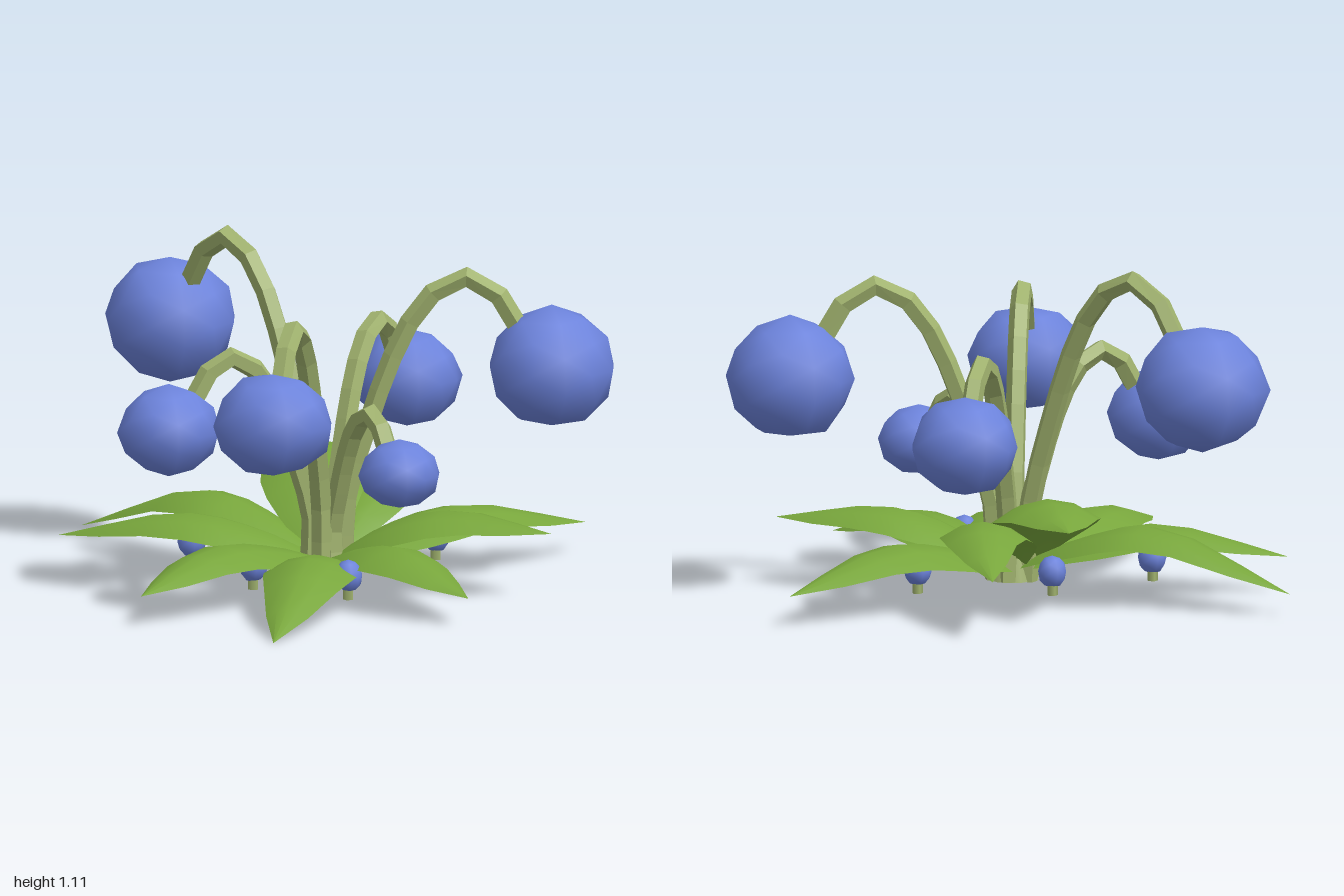
import * as THREE from 'three';
import { mergeVertices } from 'three/addons/utils/BufferGeometryUtils.js';

const V = (x, y, z) => new THREE.Vector3(x, y, z);
const mat = (name, color, side = THREE.FrontSide) => {
  const m = new THREE.MeshStandardMaterial({ color, side });
  m.name = name;
  return m;
};
const BASE = V(0.025, 0.04, -0.02);

// Smooth but slightly lumpy low-poly ball
function blob(seed) {
  let g = new THREE.IcosahedronGeometry(1, 1);
  g.deleteAttribute('uv');
  g.deleteAttribute('normal');
  g = mergeVertices(g, 1e-3);
  const p = g.attributes.position;
  let s = seed * 7919 + 17;
  for (let i = 0; i < p.count; i++) {
    s = (s * 16807) % 2147483647;
    const r = 0.98 + 0.09 * (s / 2147483647);
    p.setXYZ(i, p.getX(i) * r, p.getY(i) * r, p.getZ(i) * r);
  }
  g.computeVertexNormals();
  return g;
}

// Faceted arching stalk; profile rows are [share of reach, share of height]
const ARCH = [[0.08, 0], [0.11, 0.25], [0.22, 0.5], [0.37, 0.76], [0.53, 0.93],
  [0.72, 1], [0.88, 0.95], [1.0, 0.83]];
function stemGeometry(ex, ez, peak) {
  const pts = ARCH.map(([u, h]) => V(
    BASE.x + (ex - BASE.x) * u, BASE.y + (peak - BASE.y) * h, BASE.z + (ez - BASE.z) * u));
  // Stalks start on a small ring around the base
  const out = V(ex - BASE.x, 0, ez - BASE.z).setLength(0.06);
  pts[0].set(BASE.x + out.x, BASE.y, BASE.z + out.z);
  const g = new THREE.TubeGeometry(new THREE.CatmullRomCurve3(pts), 11, 0.035, 5).toNonIndexed();
  g.computeVertexNormals();
  return g;
}

// Arched, pointed leaf built from cross-sections along a curve
const WIDTH = [0.2, 0.48, 0.75, 0.93, 1, 0.95, 0.76, 0.44, 0];
function leafGeometry(mid, tip, half) {
  const curve = new THREE.CatmullRomCurve3([V(BASE.x, 0.08, BASE.z),
    V(mid.x * 0.5 + BASE.x * 0.5, 0.08 + (mid.y - 0.08) * 0.7, mid.z * 0.5 + BASE.z * 0.5), mid, tip]);
  const pos = [], idx = [], n = WIDTH.length, cols = 5;
  for (let i = 0; i < n; i++) {
    const t = i / (n - 1), c = curve.getPoint(t), d = curve.getTangent(t);
    const side = V(d.z, 0, -d.x).normalize();
    for (let j = 0; j < cols; j++) {
      const k = j / 2 - 1, w = WIDTH[i] * half;
      pos.push(c.x + side.x * k * w, c.y - 0.4 * w * k * k, c.z + side.z * k * w);
      if (i < n - 1 && j < cols - 1) {
        const a = i * cols + j;
        idx.push(a, a + cols, a + 1, a + 1, a + cols, a + cols + 1);
      }
    }
  }
  const g = new THREE.BufferGeometry();
  g.setAttribute('position', new THREE.Float32BufferAttribute(pos, 3));
  // Wind the faces so the upper side is the front
  for (let i = 0; i < idx.length; i += 3) [idx[i + 1], idx[i + 2]] = [idx[i + 2], idx[i + 1]];
  g.setIndex(idx);
  g.computeVertexNormals();
  if (g.attributes.normal.getY(22) < 0) {
    for (let i = 0; i < idx.length; i += 3) [idx[i + 1], idx[i + 2]] = [idx[i + 2], idx[i + 1]];
    g.setIndex(idx);
    g.computeVertexNormals();
  }
  return g;
}

export function createModel() {
  const model = new THREE.Group();
  model.name = 'bellFlowerPlant';
  const petal = mat('blue petal', 0x6c83dc);
  const leafGreen = mat('leaf green', 0x78a63c, THREE.DoubleSide);
  const stalk = mat('pale stalk green', 0xa0b26e);
  const add = (name, geometry, material, parent = model) => {
    const m = new THREE.Mesh(geometry, material);
    m.name = name;
    parent.add(m);
    return m;
  };

  // Flowers: centre, half sizes, stem end x/z, stem peak height
  const flowers = [
    [[-0.665, 0.76, -0.44], [0.215, 0.2, 0.205], [-0.57, -0.37], 1.08],
    [[0.725, 0.725, -0.24], [0.21, 0.195, 0.2], [0.62, -0.21], 1.02],
    [[0.09, 0.58, -0.62], [0.175, 0.158, 0.167], [0.085, -0.53], 0.81],
    [[-0.405, 0.54, 0.305], [0.16, 0.145, 0.165], [-0.33, 0.25], 0.77],
    [[0.38, 0.44, 0.27], [0.128, 0.113, 0.13], [0.32, 0.22], 0.61],
    [[0.08, 0.655, 0.65], [0.192, 0.168, 0.172], [0.07, 0.55], 0.92],
  ];
  flowers.forEach(([c, s, e, peak], i) => {
    const flower = new THREE.Group();
    flower.name = 'flower' + (i + 1);
    model.add(flower);
    add('stem', stemGeometry(e[0], e[1], peak), stalk, flower);
    const bell = add('bell', blob(i + 1), petal, flower);
    bell.position.set(...c);
    bell.scale.set(...s);
  });

  // Root crown closing the stalk bases
  add('crown', new THREE.CylinderGeometry(0.07, 0.09, 0.08, 7), stalk)
    .position.set(BASE.x, 0.08, BASE.z);

  // Leaves: middle point, tip, half width
  const leaves = [
    [[0.05, 0.31, -0.52], [-0.06, 0.2, -1.0], 0.15],
    [[0.36, 0.21, -0.43], [0.64, 0.1, -0.81], 0.17],
    [[0.45, 0.27, -0.03], [0.81, 0.22, 0.0], 0.17],
    [[0.41, 0.2, 0.32], [0.7, 0.09, 0.5], 0.16],
    [[0.15, 0.18, 0.52], [0.2, 0.0, 0.99], 0.16],
    [[-0.18, 0.2, 0.48], [-0.3, 0.1, 0.87], 0.16],
    [[-0.45, 0.22, 0.06], [-0.87, 0.12, 0.07], 0.16],
    [[-0.47, 0.25, -0.19], [-0.94, 0.07, -0.35], 0.15],
    [[-0.16, 0.38, -0.44], [-0.27, 0.32, -0.73], 0.19],
  ];
  leaves.forEach(([m, t, w], i) =>
    add('leaf' + (i + 1), leafGeometry(V(...m), V(...t), w), leafGreen));

  // Small buds on short stubs under the leaves
  [[0.25, 0.4], [-0.1, 0.34], [-0.43, 0.01], [-0.15, -0.31], [0.29, -0.34]].forEach(([x, z], i) => {
    const bud = new THREE.Group();
    bud.name = 'bud' + (i + 1);
    bud.position.set(x, 0, z);
    model.add(bud);
    add('budStub', new THREE.CylinderGeometry(0.018, 0.018, 0.05, 5), stalk, bud).position.y = 0.065;
    const ball = add('budBall', blob(i + 20), petal, bud);
    ball.position.y = 0.118;
    ball.scale.set(0.046, 0.052, 0.046);
  });
  return model;
}
